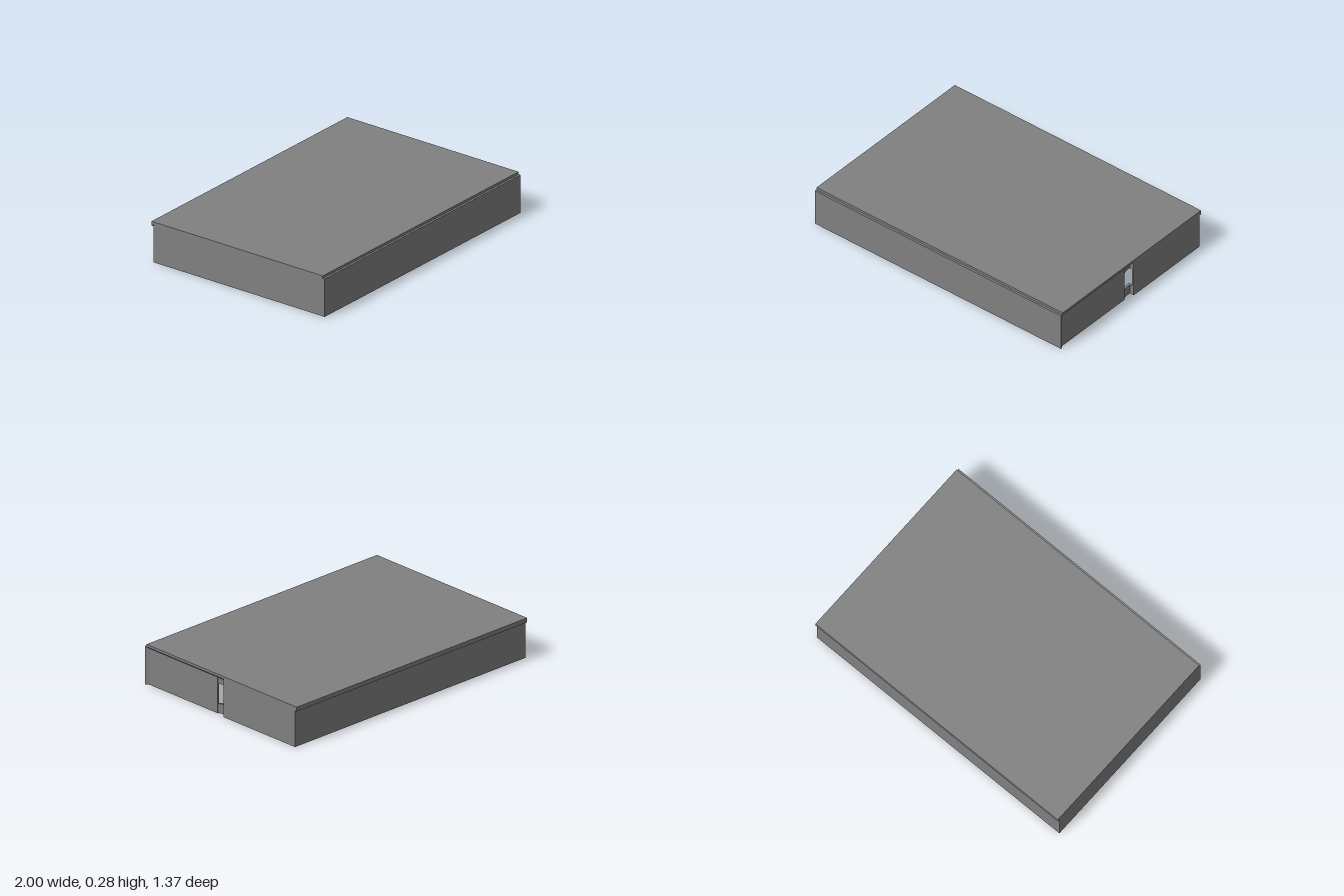
import * as THREE from 'three';

export function createModel() {
  const group = new THREE.Group();
  group.name = 'openTray';
  const metal = new THREE.MeshStandardMaterial({ color: 0x808080 });
  metal.name = 'grey sheet metal';

  const add = (name, geometry) => {
    const mesh = new THREE.Mesh(geometry, metal);
    mesh.name = name;
    group.add(mesh);
    return mesh;
  };
  // Box given by its limits on each axis
  const slab = (name, x0, x1, y0, y1, z0, z1) =>
    add(name, new THREE.BoxGeometry(x1 - x0, y1 - y0, z1 - z0)
      .translate((x0 + x1) / 2, (y0 + y1) / 2, (z0 + z1) / 2));
  // Plan outline in (x, z), extruded upward from y0 to y1
  const upright = (name, points, y0, y1) => {
    const shape = new THREE.Shape(points.map(([x, z]) => new THREE.Vector2(x, -z)));
    const geometry = new THREE.ExtrudeGeometry(shape, { depth: y1 - y0, bevelEnabled: false });
    return add(name, geometry.rotateX(-Math.PI / 2).translate(0, y0, 0));
  };

  // Lid with a folded lip along the back
  slab('lid', -1, 1, 0.26, 0.277, -0.685, 0.67);
  slab('lidBackLip', -1, 1, 0.247, 0.26, -0.685, -0.671);

  // Front, back and left walls; the bottom stays open
  upright('frontWall', [[-1, 0.67], [0.985, 0.67], [0.985, 0.655], [1, 0.683], [1, 0.685], [-1, 0.685]], 0, 0.26);
  slab('backWall', -1, 1, 0, 0.26, -0.67, -0.655);
  slab('leftWall', -1, -0.985, 0, 0.26, -0.655, 0.67);

  // Right wall: flush rear half, inset front half
  slab('rightWallRear', 0.985, 1, 0, 0.26, -0.655, -0.025);
  slab('rightWallFront', 0.97, 0.985, 0, 0.247, 0.045, 0.67);

  // Bevelled fold under the lid above the inset half
  const fold = new THREE.Shape([[0.97, 0.26], [0.97, 0.247], [0.985, 0.247], [1, 0.26]]
    .map(([x, y]) => new THREE.Vector2(x, y)));
  add('lidRightFold', new THREE.ExtrudeGeometry(fold, { depth: 0.69, bevelEnabled: false })
    .translate(0, 0, -0.022));

  // Curved tabs joining the halves above and below the slot
  const tab = [[0.985, 0.055], [0.978, 0.04], [0.971, 0.02], [0.968, 0], [0.969, -0.025],
    [0.95, -0.025], [0.952, 0.02], [0.97, 0.055]];
  upright('lowerTab', tab, 0, 0.065);
  upright('upperTab', tab, 0.2, 0.247);
  for (const [y0, y1] of [[0, 0.065], [0.2, 0.247]]) {
    slab('tabBridge', 0.95, 0.985, y0, y1, -0.04, -0.025);
  }
  return group;
}
